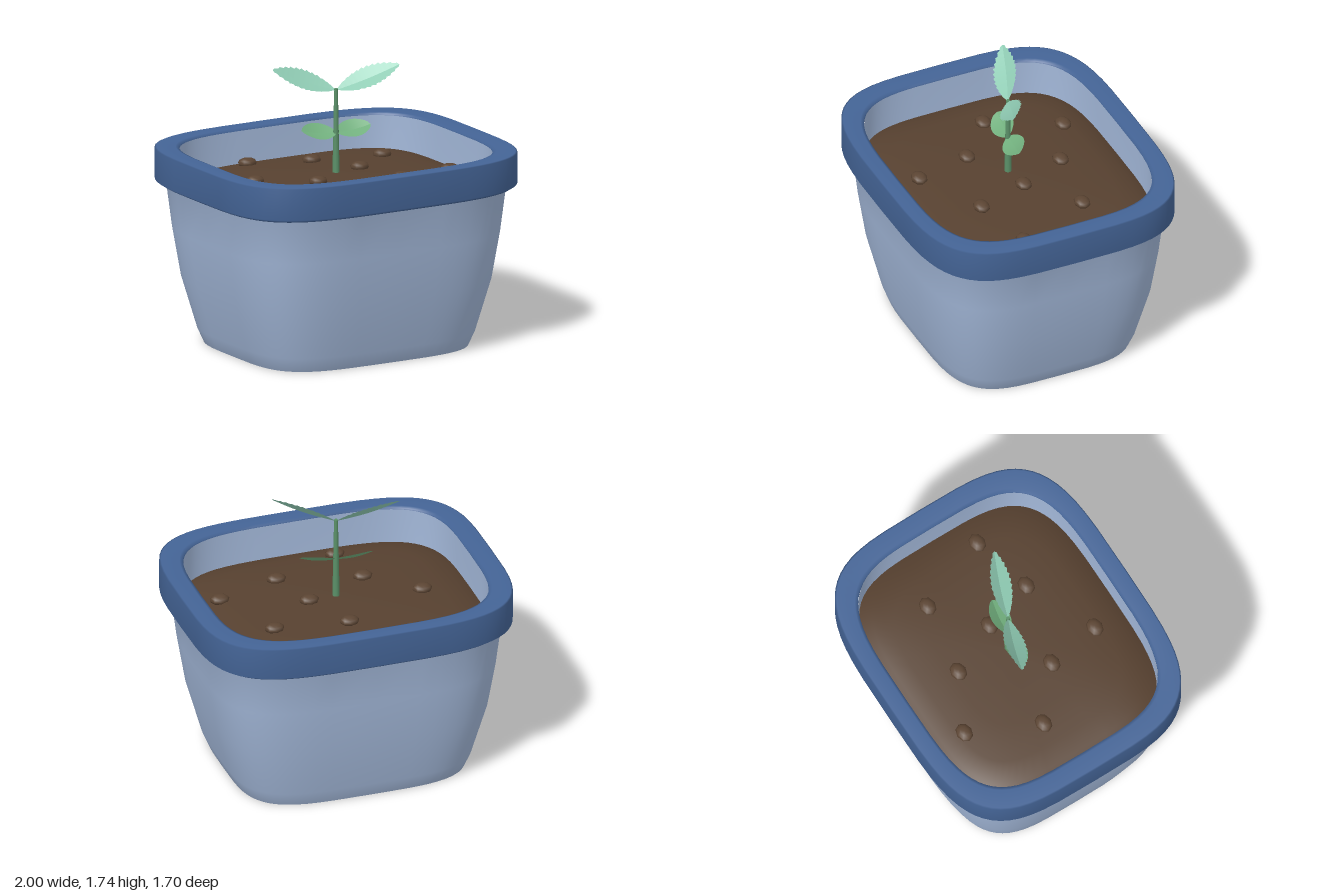
import * as THREE from 'three';

const mat = (name, color, side = THREE.FrontSide) => {
  const m = new THREE.MeshStandardMaterial({ color, side });
  m.name = name;
  return m;
};

const SEG = 64, DEPTH = 0.85;
const squircle = (v) => Math.sign(v) * Math.sqrt(Math.abs(v));

// Sweeps a [radius, height] profile around a rounded-square outline.
// Profiles run upwards on outer walls and downwards on inner walls.
function squareLathe(profile) {
  const pos = [], idx = [];
  for (const [r, y] of profile) {
    for (let i = 0; i < SEG; i++) {
      const a = (i / SEG) * Math.PI * 2;
      pos.push(r * squircle(Math.cos(a)), y, r * DEPTH * squircle(Math.sin(a)));
    }
  }
  for (let j = 0; j < profile.length - 1; j++) {
    for (let i = 0; i < SEG; i++) {
      const k = (i + 1) % SEG;
      const a = j * SEG + i, b = j * SEG + k, c = a + SEG, d = b + SEG;
      idx.push(a, c, b, b, c, d);
    }
  }
  const g = new THREE.BufferGeometry();
  g.setAttribute('position', new THREE.Float32BufferAttribute(pos, 3));
  g.setIndex(idx);
  g.computeVertexNormals();
  return g;
}

// Two leaf halves meeting at a folded midrib; teeth > 0 gives a saw edge.
function leafGeometry(base, dir, up, halfWidth, teeth, fullness) {
  const d = dir.clone().normalize();
  const n = up.clone().addScaledVector(d, -up.dot(d)).normalize();
  const w = new THREE.Vector3().crossVectors(n, d);
  const rows = teeth ? teeth * 2 : 20;
  const pos = [], idx = [];
  for (const side of [-1, 1]) {
    const start = pos.length / 3;
    for (let i = 0; i <= rows; i++) {
      const t = i / rows;
      let width = halfWidth * Math.pow(Math.sin(Math.PI * t), fullness);
      if (teeth && i % 2 === 0) width *= 0.86;
      const mid = base.clone().addScaledVector(dir, t).addScaledVector(n, -0.012 * Math.sin(Math.PI * t));
      const edge = mid.clone().addScaledVector(w, side * width).addScaledVector(n, width * 0.2);
      // saw teeth lean towards the tip
      if (teeth && i % 2 === 1) edge.addScaledVector(dir, 0.02);
      pos.push(...mid.toArray(), ...edge.toArray());
    }
    for (let i = 0; i < rows; i++) {
      const a = start + i * 2, b = a + 1, c = a + 2, e = a + 3;
      if (side > 0) idx.push(a, c, b, b, c, e);
      else idx.push(a, b, c, b, e, c);
    }
  }
  const g = new THREE.BufferGeometry();
  g.setAttribute('position', new THREE.Float32BufferAttribute(pos, 3));
  g.setIndex(idx);
  g.computeVertexNormals();
  return g;
}

// Soil height falls gently from the middle and faster at the wall.
const SOIL = [[0.86, 0.98], [0.78, 1.02], [0.66, 1.045], [0.45, 1.06], [0.2, 1.068], [0, 1.07]];
function soilHeight(x, z) {
  const r = Math.pow(x ** 4 + (z / DEPTH) ** 4, 0.25);
  for (let i = 0; i < SOIL.length - 1; i++) {
    const [r0, y0] = SOIL[i], [r1, y1] = SOIL[i + 1];
    if (r >= r1) return y1 + ((y0 - y1) * (r - r1)) / (r0 - r1);
  }
  return 1.07;
}

export function createModel() {
  const group = new THREE.Group();
  const potBlue = mat('pale blue pot', 0xa2b7d8);
  const rimBlue = mat('dark blue rim', 0x446496);
  const soilBrown = mat('brown soil', 0x574130, THREE.DoubleSide);
  const pebbleBrown = mat('pebble brown', 0x5c4533);
  const stemGreen = mat('stem green', 0x5a9068);
  const seedGreen = mat('seed leaf green', 0x72b07e, THREE.DoubleSide);
  const leafGreen = mat('pale leaf green', 0x90ccb4, THREE.DoubleSide);

  const add = (name, geometry, material) => {
    const mesh = new THREE.Mesh(geometry, material);
    mesh.name = name;
    group.add(mesh);
    return mesh;
  };

  // Thin pot shell, open underneath: down the inside, up the outside
  add('potBody', squareLathe([
    [0.863, 1.205], [0.863, 0.97], [0.845, 0.42], [0.755, 0.09], [0.72, 0],
    [0.73, 0], [0.767, 0.09], [0.857, 0.42], [0.905, 0.72], [0.938, 1.0], [0.985, 1.03],
  ]), potBlue);

  // Overhanging rim
  add('rim', squareLathe([
    [0.93, 1.0], [0.975, 1.002], [1.0, 1.02], [1.0, 1.215],
    [0.99, 1.22], [0.885, 1.22], [0.865, 1.213], [0.865, 1.19],
  ]), rimBlue);

  // Domed soil with half-buried pebbles
  add('soil', squareLathe(SOIL), soilBrown);
  const pebbles = [
    [-0.32, -0.52], [0.03, -0.34], [0.49, -0.27], [-0.53, -0.08], [0.18, -0.02],
    [-0.23, 0.17], [0.28, 0.31], [0.68, 0.21], [-0.17, 0.52],
  ];
  const pebbleShape = new THREE.SphereGeometry(0.063, 8, 6);
  for (const [x, z] of pebbles) {
    const p = add('pebble', pebbleShape, pebbleBrown);
    p.scale.set(1, 0.5, 0.8);
    p.position.set(x, soilHeight(x, z) + 0.012, z);
  }

  // Tapered stem
  const stem = add('stem', new THREE.CylinderGeometry(0.012, 0.023, 0.55, 10), stemGreen);
  stem.position.y = 1.32;

  // Round seed leaves and toothed upper leaves, both rolled towards the front
  const V = (x, y, z) => new THREE.Vector3(x, y, z);
  for (const s of [1, -1]) {
    const side = s > 0 ? 'left' : 'right';
    add(side + 'SeedLeaf',
      leafGeometry(V(0, 1.32, 0), V(0.228 * s, 0.03, 0.03 * s), V(0, 0.85, 0.5), 0.075, 0, 0.6), seedGreen);
    const up = s > 0 ? V(-0.45, 0.77, 0.45) : V(0.07, 0.77, 0.63);
    add(side + 'ToothedLeaf',
      leafGeometry(V(0, 1.585, 0), V(0.37 * s, 0.145, 0.135 * s), up, 0.085, 12, 0.8), leafGreen);
  }
  return group;
}
